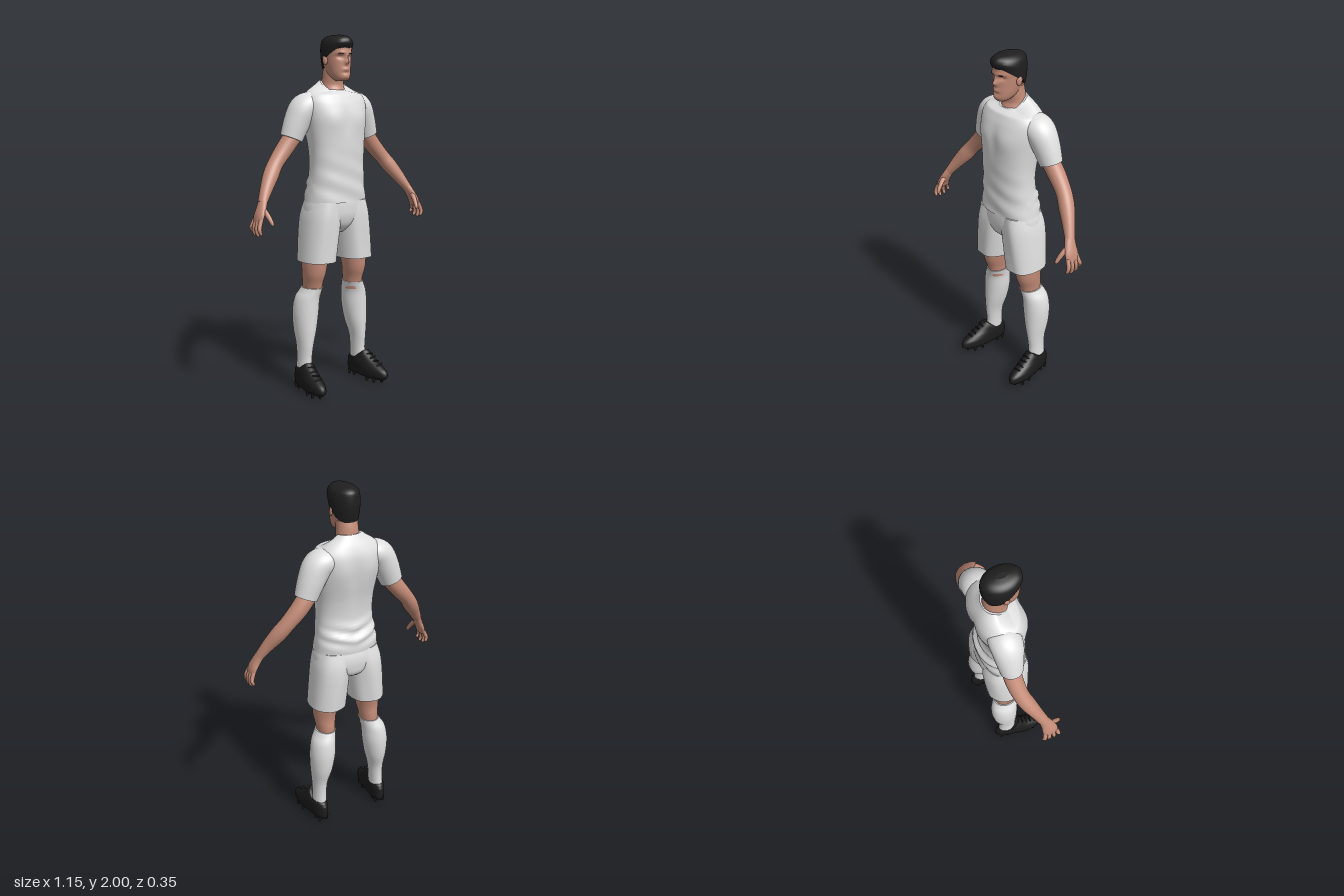
import * as THREE from 'three';

const mat = (name, color, side = THREE.FrontSide) => {
  const m = new THREE.MeshStandardMaterial({ color, side });
  m.name = name;
  return m;
};

// Smoothly interpolates rows of numbers
function densify(rows, steps) {
  const out = [], at = i => rows[Math.max(0, Math.min(rows.length - 1, i))];
  for (let i = 0; i < rows.length - 1; i++)
    for (let s = 0; s < steps; s++) {
      const t = s / steps, a = at(i - 1), b = at(i), c = at(i + 1), d = at(i + 2);
      out.push(b.map((_, k) => 0.5 * (2 * b[k] + (c[k] - a[k]) * t + (2 * a[k] - 5 * b[k] + 4 * c[k] - d[k]) * t * t
        + (3 * b[k] - a[k] - 3 * c[k] + d[k]) * t ** 3)));
    }
  out.push(rows[rows.length - 1]);
  return out;
}

// Skins a list of rings { c, u, v }, closing both ends with flat caps
function skin(rings, { seg = 40, power = 1, warp, mirror = false } = {}) {
  const pos = [], idx = [], n = rings.length;
  const soft = x => Math.sign(x) * Math.abs(x) ** power;
  const put = p => { if (warp) warp(p); pos.push(mirror ? -p.x : p.x, p.y, p.z); };
  const ring = r => {
    for (let j = 0; j < seg; j++) {
      const a = j / seg * Math.PI * 2;
      put(r.c.clone().addScaledVector(r.u, soft(Math.cos(a))).addScaledVector(r.v, soft(Math.sin(a))));
    }
  };
  const tri = (a, b, c) => mirror ? idx.push(a, c, b) : idx.push(a, b, c);
  rings.forEach(ring);
  for (let i = 0; i < n - 1; i++)
    for (let j = 0; j < seg; j++) {
      const a = i * seg + j, b = i * seg + (j + 1) % seg;
      tri(a, a + seg, b);
      tri(a + seg, b + seg, b);
    }
  [rings[0], rings[n - 1]].forEach((r, top) => {
    const base = pos.length / 3;
    ring(r);
    put(r.c.clone());
    for (let j = 0; j < seg; j++) {
      const a = base + j, b = base + (j + 1) % seg;
      top ? tri(a, base + seg, b) : tri(a, b, base + seg);
    }
  });
  const g = new THREE.BufferGeometry();
  g.setAttribute('position', new THREE.Float32BufferAttribute(pos, 3));
  g.setIndex(idx);
  g.computeVertexNormals();
  return g;
}

// Level rings, bottom to top: [y, x0, x1, z0, z1]
const stack = (rows, opt = {}) => skin(densify(rows, opt.steps || 5).map(([y, x0, x1, z0, z1]) => ({
  c: new THREE.Vector3((x0 + x1) / 2, y, (z0 + z1) / 2),
  u: new THREE.Vector3((x1 - x0) / 2, 0, 0), v: new THREE.Vector3(0, 0, (z1 - z0) / 2),
})), opt);
// Symmetric level rings: [y, halfWidth, z0, z1]
const body = (rows, opt) => stack(rows.map(([y, w, a, b]) => [y, -w, w, a, b]), opt);

// Limb along a path: [x, y, z, thickness, breadth]
function limb(rows, opt = {}) {
  const d = densify(rows, 5), P = d.map(r => new THREE.Vector3(r[0], r[1], r[2]));
  return skin(d.map((r, i) => {
    const dir = P[Math.min(i + 1, P.length - 1)].clone().sub(P[Math.max(i - 1, 0)]).normalize();
    const u = new THREE.Vector3().crossVectors(dir, new THREE.Vector3(0, 0, -1)).normalize();
    const v = new THREE.Vector3().crossVectors(u, dir);
    return { c: P[i], u: u.multiplyScalar(r[3]), v: v.multiplyScalar(r[4]) };
  }), opt);
}

const bump = (p, x, y, sx, sy) => Math.exp(-(((p.x - x) / sx) ** 2) - ((p.y - y) / sy) ** 2);
const clamp = x => Math.max(0, Math.min(1, x));

export function createModel() {
  const model = new THREE.Group();
  model.name = 'footballer';
  const skinMat = mat('skin', 0xc48c78), kit = mat('white kit', 0xe0e0e0, THREE.DoubleSide);
  const hairMat = mat('black hair', 0x1f1f1f), boot = mat('black boot', 0x1c1c1c);
  const add = (name, geo, material, parent = model) => {
    const m = new THREE.Mesh(geo, material);
    m.name = name;
    parent.add(m);
    return m;
  };

  // Head with brow, eye sockets, nose, lips and chin pushed out of the surface
  const face = p => {
    if (p.z < 0.02) return;
    const ax = { x: Math.abs(p.x), y: p.y };
    p.z += 0.018 * bump(p, 0, 1.852, 0.012, 0.013) + 0.012 * bump(p, 0, 1.875, 0.009, 0.02)
      - 0.014 * bump(ax, 0.031, 1.882, 0.017, 0.012) + 0.005 * bump(ax, 0.028, 1.903, 0.026, 0.009)
      + 0.006 * bump(p, 0, 1.815, 0.022, 0.009) - 0.005 * bump(p, 0, 1.796, 0.025, 0.007)
      + 0.004 * bump(p, 0, 1.773, 0.02, 0.012);
  };
  add('head', body([[1.75, 0.028, 0.0, 0.062], [1.765, 0.045, -0.03, 0.075], [1.79, 0.058, -0.07, 0.079],
    [1.83, 0.067, -0.095, 0.077], [1.87, 0.073, -0.11, 0.076], [1.91, 0.076, -0.115, 0.079],
    [1.95, 0.072, -0.11, 0.074], [1.978, 0.05, -0.08, 0.045], [1.985, 0.02, -0.04, 0.01]],
  { seg: 72, steps: 8, warp: face }), skinMat);
  add('neck', body([[1.62, 0.08, -0.12, 0.025], [1.69, 0.071, -0.12, 0.018], [1.73, 0.064, -0.115, 0.002],
    [1.78, 0.06, -0.11, 0.01], [1.82, 0.058, -0.1, 0.01]]), skinMat);

  // Short hair, its edge sloping down from the forehead to the nape
  add('hair', body([[1.9, 0.079, -0.119, 0.079], [1.925, 0.081, -0.123, 0.087], [1.95, 0.08, -0.122, 0.092],
    [1.975, 0.068, -0.112, 0.088], [1.992, 0.045, -0.085, 0.065], [2.0, 0.015, -0.04, 0.02]], {
    warp: p => {
      const low = clamp((1.965 - p.y) / 0.065), back = clamp((0.065 - p.z) / 0.17);
      p.y += low * (0.03 - 0.115 * back);
      if (p.z < -0.06) p.z += low * low * 0.014;
      p.z += 0.002 * Math.sin(p.x * 120) * clamp((p.z - 0.04) / 0.03);
    },
  }), hairMat);

  // Shirt with chest, spine, waist folds and a scooped neckline
  const drape = p => {
    const ax = { x: Math.abs(p.x), y: p.y };
    if (p.z > 0) p.z += 0.007 * bump(ax, 0.085, 1.54, 0.06, 0.06) - 0.006 * bump(p, 0, 1.53, 0.025, 0.08)
      + 0.003 * Math.sin(p.y * 55 + p.x * 22) * clamp((1.42 - p.y) / 0.2);
    else p.z += 0.009 * bump(p, 0, 1.5, 0.03, 0.14) - 0.007 * bump(ax, 0.09, 1.57, 0.05, 0.08)
      - 0.011 * Math.sin((p.y - 1.14 - ax.x * 0.25) * 85) * bump(p, 0, 1.19, 0.3, 0.055);
    p.y -= 0.055 * clamp((p.y - 1.68) / 0.07) * clamp((p.z + 0.08) / 0.075);
  };
  add('shirt', body([[1.085, 0.187, -0.158, 0.096], [1.14, 0.18, -0.16, 0.096], [1.2, 0.171, -0.145, 0.096],
    [1.28, 0.164, -0.128, 0.096], [1.38, 0.166, -0.138, 0.099], [1.48, 0.178, -0.16, 0.1], [1.56, 0.19, -0.172, 0.096],
    [1.62, 0.195, -0.174, 0.082], [1.66, 0.187, -0.168, 0.065], [1.7, 0.15, -0.152, 0.045],
    [1.735, 0.098, -0.132, 0.028], [1.755, 0.074, -0.12, 0.018]], { seg: 72, power: 0.87, warp: drape }), kit);

  // Seat of the shorts, joining the two legs
  add('shortsSeat', body([[0.91, 0.03, -0.09, 0.03], [0.95, 0.1, -0.15, 0.07], [1.0, 0.185, -0.164, 0.088],
    [1.05, 0.192, -0.164, 0.092], [1.1, 0.182, -0.152, 0.09]], { power: 0.88 }), kit);

  for (const mirror of [false, true]) {
    const s = mirror ? -1 : 1, side = mirror ? 'right' : 'left';
    const arm = new THREE.Group(), leg = new THREE.Group();
    arm.name = side + 'Arm';
    leg.name = side + 'Leg';
    model.add(arm, leg);

    const ear = add(side + 'Ear', new THREE.SphereGeometry(1, 16, 12), skinMat);
    ear.scale.set(0.009, 0.026, 0.016);
    ear.position.set(s * 0.077, 1.862, -0.018);
    ear.rotation.set(-0.2, s * -0.3, 0);
    const brow = add(side + 'Brow', new THREE.SphereGeometry(1, 12, 8), hairMat);
    brow.scale.set(0.017, 0.003, 0.004);
    brow.position.set(s * 0.031, 1.899, 0.071);
    brow.rotation.set(0, s * 0.38, s * -0.06);

    // Sleeve and bare arm
    add('sleeve', limb([[0.1, 1.635, -0.07, 0.05, 0.07], [0.145, 1.625, -0.07, 0.07, 0.085],
      [0.19, 1.595, -0.07, 0.079, 0.085], [0.228, 1.525, -0.075, 0.074, 0.075], [0.262, 1.44, -0.079, 0.064, 0.061]],
    { mirror }), kit, arm);
    add('arm', limb([[0.22, 1.49, -0.078, 0.05, 0.05], [0.3, 1.39, -0.083, 0.048, 0.049], [0.37, 1.31, -0.072, 0.042, 0.044],
      [0.415, 1.25, -0.05, 0.043, 0.043], [0.465, 1.18, -0.018, 0.034, 0.034], [0.507, 1.115, 0.01, 0.023, 0.029]],
    { mirror, seg: 28 }), skinMat, arm);

    // Hand: palm, four curled fingers and thumb
    add('palm', limb([[0.498, 1.13, 0.004, 0.023, 0.029], [0.518, 1.09, 0.018, 0.022, 0.036],
      [0.538, 1.05, 0.026, 0.019, 0.044], [0.549, 1.015, 0.029, 0.014, 0.041]], { mirror, seg: 24 }), skinMat, arm);
    for (let i = 0; i < 4; i++) {
      const z = -0.005 + i * 0.022, tip = [0.965, 0.948, 0.945, 0.955][i], f = (i - 1.5) * 0.004;
      add('finger', limb([[0.545, 1.035, z, 0.011, 0.012], [0.56, 0.998, z + f, 0.012, 0.012],
        [0.562, tip + 0.022, z + f * 2, 0.01, 0.01], [0.554, tip + 0.004, z + f * 2, 0.008, 0.008],
        [0.551, tip, z + f * 2, 0.002, 0.002]], { mirror, seg: 12 }), skinMat, arm);
    }
    add('thumb', limb([[0.517, 1.09, 0.03, 0.014, 0.016], [0.511, 1.06, 0.064, 0.014, 0.014],
      [0.504, 1.03, 0.088, 0.012, 0.012], [0.5, 1.01, 0.1, 0.009, 0.009], [0.499, 1.003, 0.104, 0.002, 0.002]],
    { mirror, seg: 12 }), skinMat, arm);

    // Shorts leg, bare knee and sock
    add('shortsLeg', stack([[0.75, 0.025, 0.225, -0.158, 0.084], [0.85, 0.013, 0.217, -0.164, 0.088],
      [0.95, 0.002, 0.207, -0.168, 0.092], [1.02, -0.005, 0.197, -0.164, 0.092], [1.09, -0.01, 0.178, -0.148, 0.086]],
    { mirror, power: 0.88, warp: p => { p.z += 0.003 * Math.sin(p.x * 60 + p.y * 12); } }), kit, leg);
    add('knee', stack([[0.55, 0.095, 0.19, -0.12, 0.0], [0.62, 0.089, 0.195, -0.122, 0.016], [0.68, 0.078, 0.203, -0.118, 0.036],
      [0.76, 0.064, 0.206, -0.13, 0.045], [0.85, 0.05, 0.2, -0.14, 0.05]], { mirror }), skinMat, leg);
    add('sock', stack([[0.09, 0.158, 0.234, -0.125, -0.01], [0.18, 0.154, 0.23, -0.12, -0.014], [0.26, 0.145, 0.233, -0.126, -0.006],
      [0.35, 0.12, 0.243, -0.15, 0.0], [0.45, 0.102, 0.247, -0.16, 0.002], [0.53, 0.097, 0.235, -0.153, 0.004],
      [0.575, 0.09, 0.211, -0.136, 0.01], [0.595, 0.086, 0.2, -0.127, 0.014]], { mirror }), kit, leg);

    // Boot, turned slightly outward, with laces and studs
    const foot = new THREE.Group();
    foot.name = 'boot';
    foot.position.x = s * 0.206;
    foot.rotation.y = s * 0.11;
    leg.add(foot);
    add('upper', body([[0.02, 0.042, -0.138, 0.155], [0.04, 0.052, -0.149, 0.174], [0.07, 0.053, -0.149, 0.165],
      [0.095, 0.05, -0.146, 0.125], [0.12, 0.047, -0.14, 0.075], [0.15, 0.044, -0.132, 0.032], [0.17, 0.039, -0.12, 0.008]], {
      warp: p => {
        p.x *= 1 - 0.14 * Math.exp(-(((p.z + 0.04) / 0.06) ** 2)) * clamp((0.1 - p.y) / 0.05);
        p.y -= 0.04 * clamp((p.y - 0.1) / 0.07) * clamp((0.0 - p.z) / 0.05);
      },
    }), boot, foot);
    for (let i = 0; i < 4; i++) {
      const lace = add('lace', new THREE.CapsuleGeometry(0.004, 0.04, 4, 8), boot, foot);
      lace.rotation.z = Math.PI / 2 + (i % 2 ? 0.15 : -0.15);
      lace.position.set(0, 0.153 - i * 0.016, 0.031 + i * 0.027);
    }
    for (const [x, z] of [[0.033, 0.1], [-0.033, 0.1], [0.036, 0.045], [-0.036, 0.045], [0, 0.13],
      [0.026, -0.075], [-0.026, -0.075], [0.024, -0.115], [-0.024, -0.115]])
      add('stud', new THREE.CylinderGeometry(0.011, 0.007, 0.032, 10), boot, foot).position.set(x, 0.016, z);
  }
  return model;
}
